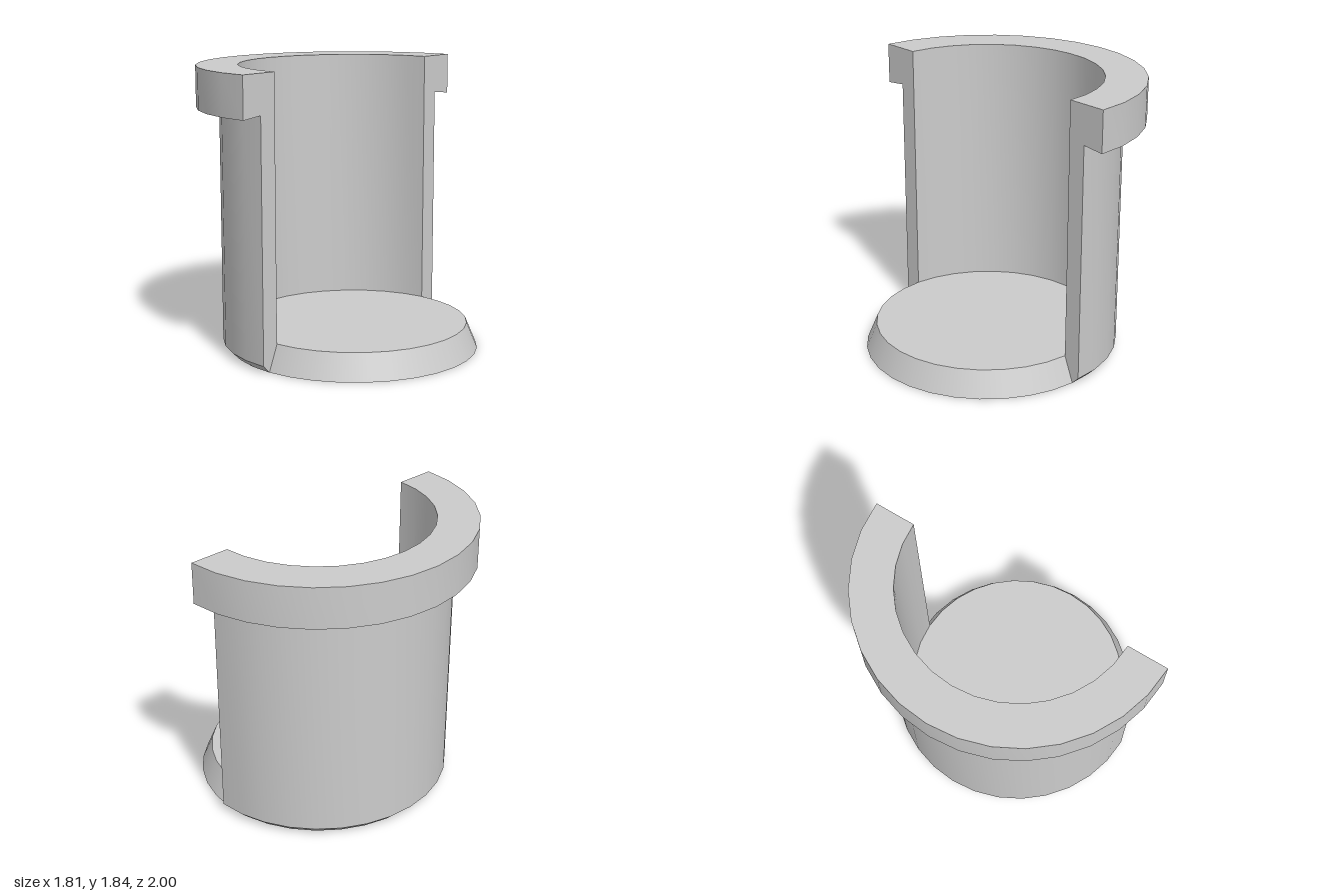
import * as THREE from 'three';
import { toCreasedNormals } from 'three/addons/utils/BufferGeometryUtils.js';

export function createModel() {
  const model = new THREE.Group();
  const material = new THREE.MeshStandardMaterial({ color: 0xcccccc });
  const axisX = 0.095; // the cut plane passes through the axis
  const segments = 16; // per half turn
  const inner = 0.735, foot = 0.805, floorY = 0.165, top = 1.835;

  const add = (name, geometry, parent) => {
    const mesh = new THREE.Mesh(geometry, material);
    mesh.name = name;
    parent.add(mesh);
    return mesh;
  };

  // Half sleeve: chamfered foot, straight wall, wide collar, smooth bore
  const sleeve = new THREE.Group();
  sleeve.name = 'halfSleeve';
  const profile = [
    [foot, 0], [0.855, 0.05], [0.855, 1.585], [1, 1.57],
    [1, top], [inner, top], [inner, floorY],
  ].map(([r, y]) => new THREE.Vector2(r, y));
  const wall = new THREE.LatheGeometry(profile, segments, Math.PI, Math.PI);
  add('sleeveWall', toCreasedNormals(wall, 0.6), sleeve);

  // Flat cut faces on both ends of the half turn
  for (const side of [1, -1]) {
    const outline = profile.map((p) => new THREE.Vector2(p.x * side, p.y));
    const face = new THREE.ShapeGeometry(new THREE.Shape(outline));
    add(side > 0 ? 'backCutFace' : 'frontCutFace', face.rotateY(Math.PI / 2), sleeve);
  }

  // Floor disc, with its sloping rim exposed on the open half
  const floor = new THREE.Group();
  floor.name = 'floorDisc';
  const rim = new THREE.CylinderGeometry(inner, foot, floorY, segments, 1, true, 0, Math.PI);
  add('floorRim', rim.translate(0, floorY / 2, 0), floor);
  const disc = (r, turn) => new THREE.CircleGeometry(r, segments * 2).rotateX(turn);
  add('floorTop', disc(inner, -Math.PI / 2), floor).position.y = floorY;
  add('floorUnderside', disc(foot, Math.PI / 2), floor);

  for (const part of [sleeve, floor]) {
    part.position.x = axisX;
    model.add(part);
  }
  return model;
}
